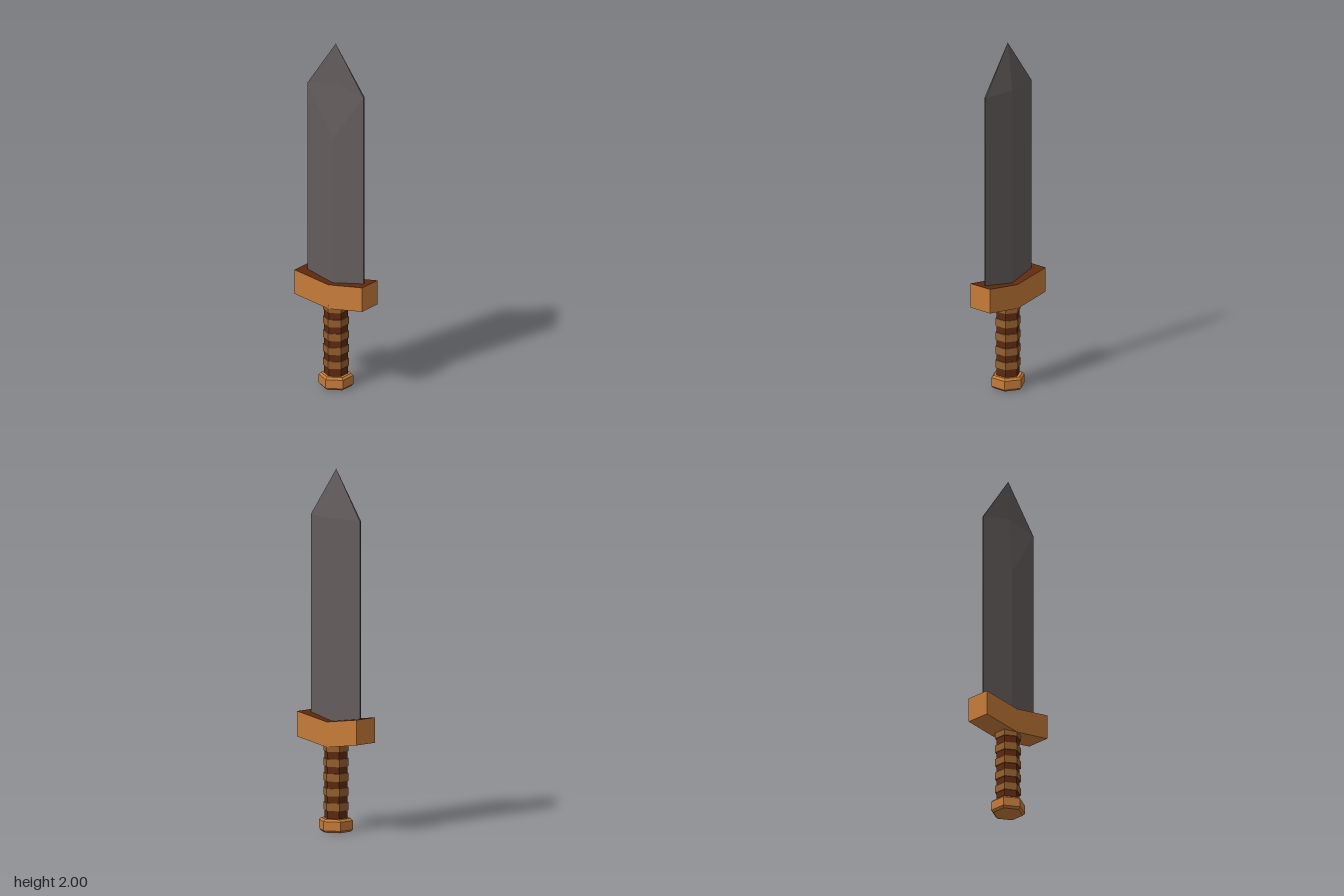
import * as THREE from 'three';

const mat = (color) => new THREE.MeshStandardMaterial({ color, flatShading: true });
const steel = mat(0x635c5c), bronze = mat(0xc67c3a), leather = mat(0x5e2a0e), wrap = mat(0x95602f);

function add(group, name, geometry, material, y = 0) {
  const mesh = new THREE.Mesh(geometry, material);
  mesh.name = name;
  mesh.position.y = y;
  group.add(mesh);
}

// Six-sided ring with corners on the x axis
const hex = (top, bottom, height) =>
  new THREE.CylinderGeometry(top, bottom, height, 6, 1, false, Math.PI / 2);

// Diamond-section blade; the ridge ends lower on the -x side
function bladeGeometry() {
  const positions = [];
  const y0 = 0.6, shoulder = 1.73, halfWidth = 0.19, edge = 0.005;
  const tip = [-0.002, 2, 0];
  for (const s of [1, -1]) for (const t of [1, -1]) {
    const z = halfWidth * t;
    const face = (...p) => {
      if (s * t < 0) p.reverse();
      for (let i = 1; i < p.length - 1; i++) positions.push(...p[0], ...p[i], ...p[i + 1]);
    };
    const ridgeLow = [0.031 * s, y0, 0], edgeLow = [edge * s, y0, z];
    const ridgeTop = [0.031 * s, s > 0 ? shoulder : 1.45, 0], corner = [edge * s, shoulder, z];
    face(edgeLow, ridgeLow, ridgeTop, corner);
    if (s > 0) {
      face(corner, ridgeTop, tip);
    } else {
      const mid = [-edge, 1.77, 0];
      face(corner, ridgeTop, mid);
      face(corner, mid, tip);
    }
    // Narrow cutting edge and underside
    face([0, y0, z], edgeLow, corner, [0, shoulder, z]);
    face([0, shoulder, z], corner, tip);
    face([0, y0, 0], ridgeLow, edgeLow, [0, y0, z]);
  }
  const g = new THREE.BufferGeometry();
  g.setAttribute('position', new THREE.Float32BufferAttribute(positions, 3));
  g.computeVertexNormals();
  return g;
}

// Box bent upward toward both ends
function guardGeometry() {
  const g = new THREE.BoxGeometry(0.142, 0.14, 0.46, 1, 1, 2);
  const p = g.attributes.position;
  for (let i = 0; i < p.count; i++) p.setY(i, p.getY(i) + Math.abs(p.getZ(i)) / 0.23 * 0.035);
  g.computeVertexNormals();
  return g;
}

export function createModel() {
  const sword = new THREE.Group();
  sword.name = 'sword';

  add(sword, 'blade', bladeGeometry(), steel);
  // Dark top face on the guard
  add(sword, 'guard', guardGeometry(), [bronze, bronze, leather, bronze, bronze, bronze], 0.54);

  // Grip with raised wraps
  add(sword, 'grip', hex(0.066, 0.066, 0.42), leather, 0.27);
  for (let i = 0; i < 4; i++) add(sword, 'gripWrap', hex(0.072, 0.072, 0.042), wrap, 0.14 + i * 0.081);
  add(sword, 'collar', hex(0.072, 0.072, 0.045), wrap, 0.468);

  // Pommel with chamfered rims
  add(sword, 'pommel', hex(0.095, 0.095, 0.05), bronze, 0.037);
  add(sword, 'pommelTop', hex(0.083, 0.095, 0.012), bronze, 0.068);
  add(sword, 'pommelBase', hex(0.095, 0.083, 0.012), bronze, 0.006);
  return sword;
}
